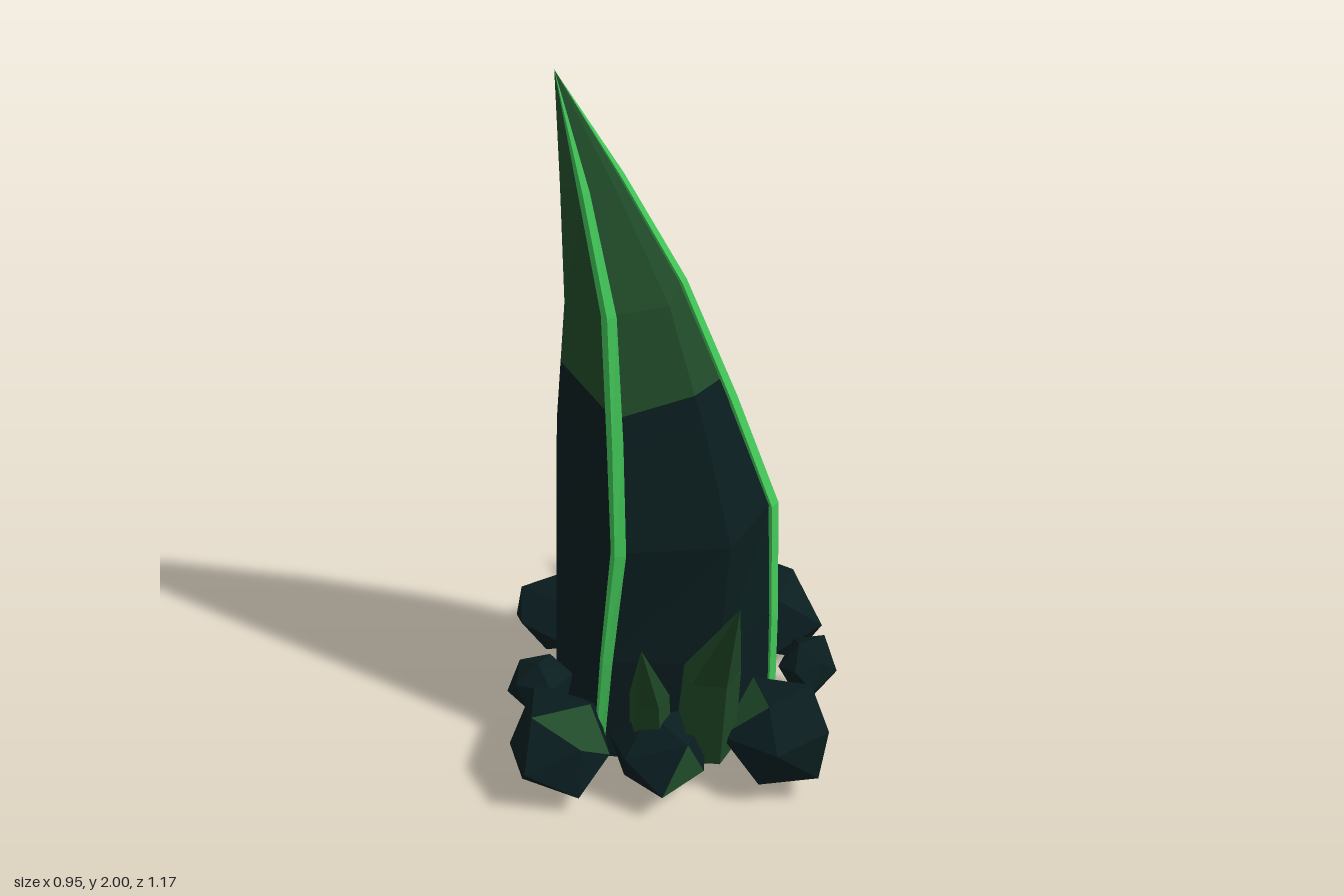
import * as THREE from 'three';

const mat = (name, color) => Object.assign(new THREE.MeshStandardMaterial({ color }), { name });
const V = (x, y, z) => new THREE.Vector3(x, y, z);

// Faceted skin through rings of points (counterclockwise from above)
function loft(rings, capBottom = false) {
  const pos = [];
  const tri = (...pts) => pts.forEach((p) => pos.push(p.x, p.y, p.z));
  for (let k = 0; k < rings.length - 1; k++) {
    const lo = rings[k], hi = rings[k + 1], n = lo.length;
    for (let i = 0; i < n; i++) {
      const j = (i + 1) % n;
      tri(lo[i], lo[j], hi[j]);
      if (hi[i].distanceTo(hi[j]) > 1e-5) tri(lo[i], hi[j], hi[i]);
    }
  }
  if (capBottom) {
    const r = rings[0];
    for (let i = 1; i < r.length - 1; i++) tri(r[0], r[i + 1], r[i]);
  }
  const geo = new THREE.BufferGeometry();
  geo.setAttribute('position', new THREE.Float32BufferAttribute(pos, 3));
  geo.computeVertexNormals();
  return geo;
}

// Spire: one outline, twisted and fitted to the extents of each level
const OUTLINE = [[-0.32, 0.03], [-0.17, 0.24], [0.14, 0.24], [0.29, 0], [0.19, -0.17], [0.02, -0.24], [-0.17, -0.23]];
const TIP = V(-0.29, 2, -0.04);
const LEVELS = [ // y, xMin, xMax, zMin, zMax, twist in degrees
  [0.015, -0.32, 0.29, -0.24, 0.24, 0],
  [0.35, -0.31, 0.288, -0.235, 0.235, 5],
  [0.7, -0.3, 0.275, -0.22, 0.205, 13],
  [1.02, -0.292, 0.155, -0.195, 0.155, 20],
  [1.38, -0.265, 0.02, -0.15, 0.105, 27],
  [1.7, -0.275, -0.135, -0.095, 0.036, 30],
];

function spireRing([y, x0, x1, z0, z1, twist]) {
  const a = THREE.MathUtils.degToRad(twist), c = Math.cos(a), s = Math.sin(a);
  const ring = OUTLINE.map(([x, z]) => V(x * c + z * s, y, z * c - x * s));
  const box = new THREE.Box3().setFromPoints(ring);
  ring.forEach((p) => {
    p.x = THREE.MathUtils.mapLinear(p.x, box.min.x, box.max.x, x0, x1);
    p.z = THREE.MathUtils.mapLinear(p.z, box.min.z, box.max.z, z0, z1);
  });
  return ring;
}

// Thorn: five-sided spike, bent at its middle ring
function thorn(base, mid, tip, r) {
  const ring = (p, rx, rz) => Array.from({ length: 5 }, (_, i) => {
    const a = (i / 5) * Math.PI * 2 + 0.3;
    return V(p.x + Math.cos(a) * rx, p.y, p.z - Math.sin(a) * rz);
  });
  return loft([ring(base, r, r * 0.9), ring(mid, r * 0.92, r * 0.85), Array(5).fill(tip)], true);
}

// Rock: jittered icosahedron fitted into a box, with some faces mossy
function rock([x0, x1, y0, y1, z0, z1, mossDir, mossCount], seed) {
  const geo = new THREE.IcosahedronGeometry(1, 0);
  const pos = geo.attributes.position, p = V(0, 0, 0);
  const hash = (q, k) => {
    const h = Math.sin(Math.round(q.x * 50) * 12.99 + Math.round(q.y * 50) * 78.23 + Math.round(q.z * 50) * 37.72 + seed * 9.7 + k) * 4375.85;
    return h - Math.floor(h) - 0.5;
  };
  for (let i = 0; i < pos.count; i++) {
    p.fromBufferAttribute(pos, i);
    const d = [0, 1, 2].map((k) => hash(p, k * 3.1) * 0.32);
    pos.setXYZ(i, p.x + d[0], p.y + d[1], p.z + d[2]);
  }
  geo.applyMatrix4(new THREE.Matrix4().makeRotationFromEuler(new THREE.Euler(seed * 0.7, seed * 1.9, seed * 0.4)));
  geo.computeBoundingBox();
  const { min, max } = geo.boundingBox;
  for (let i = 0; i < pos.count; i++) {
    p.fromBufferAttribute(pos, i);
    pos.setXYZ(i,
      THREE.MathUtils.mapLinear(p.x, min.x, max.x, x0, x1),
      THREE.MathUtils.mapLinear(p.y, min.y, max.y, y0, y1),
      THREE.MathUtils.mapLinear(p.z, min.z, max.z, z0, z1));
  }
  geo.computeVertexNormals();
  // Mossy faces are those turned most towards mossDir
  geo.clearGroups();
  const faces = Array.from({ length: pos.count / 3 }, (_, f) => f);
  const facing = (f) => p.fromBufferAttribute(geo.attributes.normal, f * 3).dot(mossDir);
  const mossy = mossDir ? [...faces].sort((a, b) => facing(b) - facing(a)).slice(0, mossCount) : [];
  faces.forEach((f) => geo.addGroup(f * 3, 3, mossy.includes(f) ? 1 : 0));
  return geo;
}

export function createModel() {
  const model = new THREE.Group();
  model.name = 'thornSpire';
  const stone = mat('darkStone', 0x0a1d1f);
  const green = mat('mossGreen', 0x204b29);
  const glow = mat('veinGreen', 0x42c658);
  const add = (name, geo, material) => {
    const mesh = new THREE.Mesh(geo, material);
    mesh.name = name;
    model.add(mesh);
  };

  // Spire, split at a ragged colour line
  const rings = LEVELS.map(spireRing);
  const ragged = [1.2, 1.09, 1.13, 1.08, 1.05, 1.09, 1.1];
  const split = ragged.map((y, i) => rings[3][i].clone().lerp(rings[4][i], (y - 1.02) / 0.36));
  add('spireLower', loft([...rings.slice(0, 4), split], true), stone);
  add('spireUpper', loft([split, rings[4], rings[5], Array(7).fill(TIP)]), green);

  // Veins running up three corners of the spire
  const veinWidth = [0.018, 0.021, 0.024, 0.024, 0.021, 0.016];
  [['frontVein', 1], ['leftVein', 3], ['backVein', 6]].forEach(([name, corner]) => {
    const sections = rings.map((ring, k) => {
      const c = ring[corner], r = veinWidth[k];
      const mid = ring.reduce((s, q) => s.add(q), V(0, 0, 0)).divideScalar(7);
      const out = c.clone().sub(mid).setY(0).normalize();
      const side = V(out.z, 0, -out.x);
      return [[1, 0], [0, 1], [-1, 0], [0, -1]].map(([o, s]) =>
        c.clone().addScaledVector(out, o * r * 0.8).addScaledVector(side, s * r));
    });
    add(name, loft([...sections, Array(4).fill(TIP)], true), glow);
  });

  // Thorns
  add('frontThornLarge', thorn(V(0.13, 0.1, 0.27), V(0.155, 0.42, 0.33), V(0.25, 0.84, 0.585), 0.088), green);
  add('frontThornSmall', thorn(V(-0.02, 0.1, 0.28), V(-0.015, 0.32, 0.335), V(-0.01, 0.63, 0.52), 0.062), green);
  add('backThorn', thorn(V(-0.02, 0.1, -0.31), V(-0.02, 0.29, -0.365), V(-0.035, 0.53, -0.54), 0.088), green);

  // Ring of rocks: xMin, xMax, yMin, yMax, zMin, zMax, moss direction, moss faces
  [
    [-0.48, -0.21, 0.05, 0.25, -0.38, -0.07],
    [-0.3, -0.06, 0.03, 0.24, -0.54, -0.21, V(0, 0.6, 0.8), 1],
    [-0.11, 0.19, 0.07, 0.25, -0.59, -0.3],
    [0.05, 0.42, 0.01, 0.28, -0.49, -0.16],
    [0.31, 0.475, 0.08, 0.22, -0.15, 0.06],
    [0.18, 0.475, 0.05, 0.27, 0.06, 0.4, V(-0.5, 0.8, 0.1), 1],
    [-0.13, 0.14, 0, 0.25, 0.2, 0.47, V(0.6, 0.5, 0.6), 1],
    [-0.4, -0.12, 0.03, 0.25, 0.14, 0.48, V(0.5, 0.8, 0.2), 2],
    [-0.445, -0.26, 0.08, 0.23, 0.045, 0.19],
  ].forEach((spec, i) => add(`rock${i + 1}`, rock(spec, i + 1), [stone, green]));

  return model;
}
